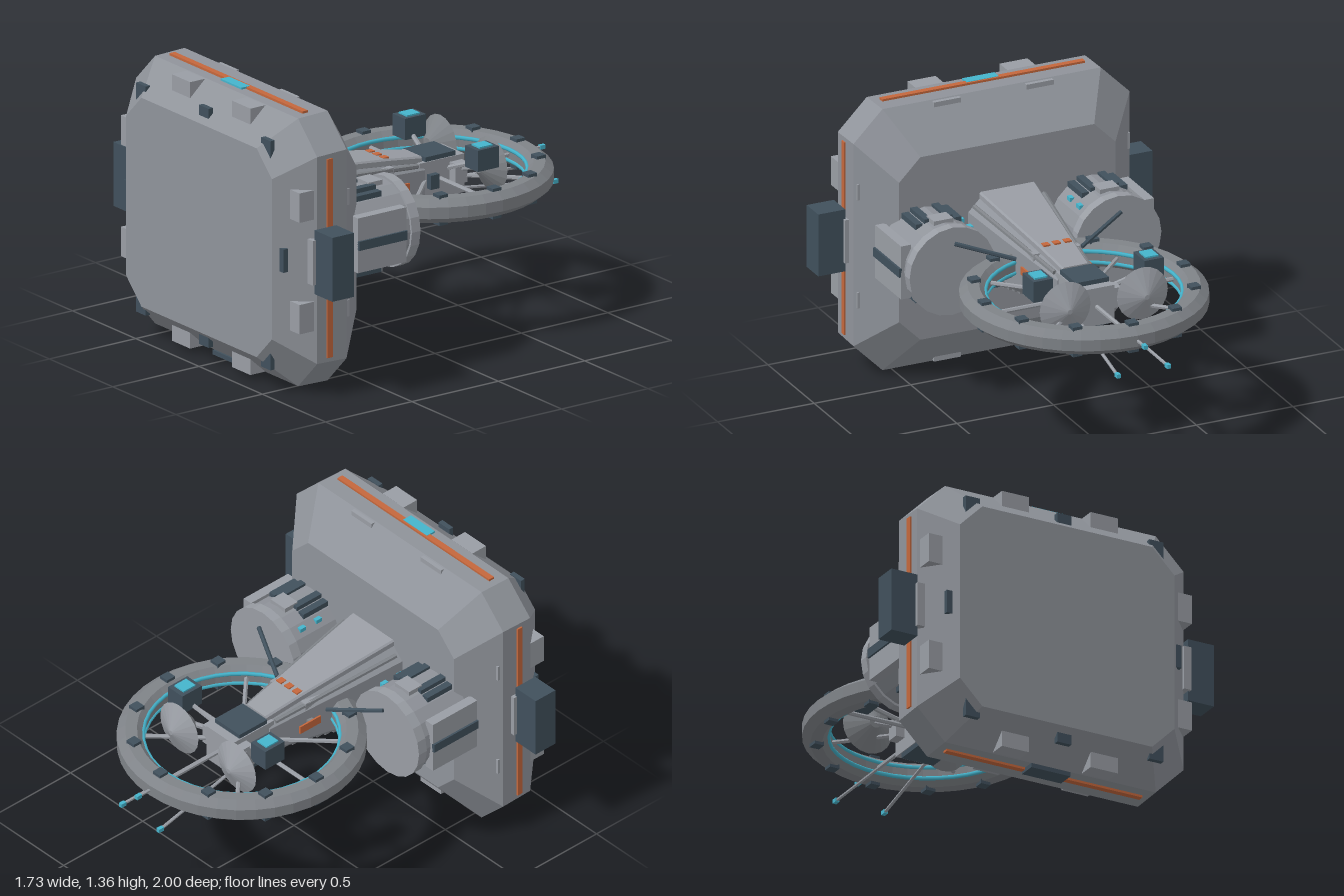
import * as THREE from 'three';

const CY = 0.69; // height of the model's long axis
const mat = (name, color) => {
  const m = new THREE.MeshStandardMaterial({ color });
  m.name = name;
  return m;
};

// Faceted normals for any geometry
function flat(g) {
  const f = g.index ? g.toNonIndexed() : g;
  f.computeVertexNormals();
  return f;
}

// Chamfered rectangle, counter-clockwise seen from the front
const section = (z, w, h, c, y = CY) => [
  [w, -h + c], [w, h - c], [w - c, h], [-w + c, h],
  [-w, h - c], [-w, -h + c], [-w + c, -h], [w - c, -h],
].map(([px, py]) => [px, py + y, z]);

// Closed solid through sections ordered front to back
function loft(sections) {
  const p = [];
  const tri = (a, b, c) => p.push(...a, ...b, ...c);
  const n = sections[0].length;
  for (let s = 0; s < sections.length - 1; s++) {
    const f = sections[s], b = sections[s + 1];
    for (let i = 0; i < n; i++) {
      const j = (i + 1) % n;
      tri(f[i], b[i], b[j]);
      tri(f[i], b[j], f[j]);
    }
  }
  const first = sections[0], last = sections[sections.length - 1];
  for (let i = 1; i < n - 1; i++) {
    tri(first[0], first[i], first[i + 1]);
    tri(last[0], last[i + 1], last[i]);
  }
  const g = new THREE.BufferGeometry();
  g.setAttribute('position', new THREE.Float32BufferAttribute(p, 3));
  g.computeVertexNormals();
  return g;
}

export function createModel() {
  const root = new THREE.Group();
  root.name = 'spaceStation';
  const hull = mat('hullGrey', 0x8f939a);
  const panel = mat('panelGrey', 0x999da4);
  const ringGrey = mat('ringGrey', 0x7f8388);
  const dark = mat('darkSlate', 0x40505c);
  const orange = mat('orange', 0xc4673c);
  const cyan = mat('cyan', 0x45b4cc);

  const add = (name, geo, m, x = 0, y = 0, z = 0) => {
    const mesh = new THREE.Mesh(geo, m);
    mesh.name = name;
    mesh.position.set(x, y, z);
    root.add(mesh);
    return mesh;
  };
  const box = (name, m, x, y, z, w, h, d) => add(name, new THREE.BoxGeometry(w, h, d), m, x, y, z);
  const rod = (name, m, a, b, r, sides = 6) => {
    const A = new THREE.Vector3(...a), B = new THREE.Vector3(...b);
    const mesh = add(name, flat(new THREE.CylinderGeometry(r, r, A.distanceTo(B), sides)), m);
    mesh.position.copy(A).add(B).multiplyScalar(0.5);
    mesh.quaternion.setFromUnitVectors(new THREE.Vector3(0, 1, 0), B.sub(A).normalize());
    return mesh;
  };
  const drum = (name, m, x, z0, z1, r, sides) =>
    add(name, flat(new THREE.CylinderGeometry(r, r, z1 - z0, sides).rotateX(Math.PI / 2)), m, x, CY, (z0 + z1) / 2);

  // Main chamfered block
  add('mainHull', loft([
    section(1.0, 0.575, 0.515, 0.12), section(0.84, 0.715, 0.66, 0.15),
    section(0.67, 0.715, 0.665, 0.15), section(0.5, 0.56, 0.465, 0.11),
  ]), hull);

  // Pads, trim and plates around the block
  for (const s of [-1, 1]) {
    for (const t of [-1, 1]) {
      box('edgePad', panel, s * 0.238, CY + t * 0.612, 0.845, 0.145, 0.09, 0.17);
      box('sidePad', panel, s * 0.663, CY + t * 0.275, 0.845, 0.085, 0.145, 0.18);
      box('rearLedge', panel, s * 0.24, CY + t * 0.645, 0.66, 0.14, 0.03, 0.03);
      box('rearSideLedge', panel, s * 0.69, CY + t * 0.275, 0.66, 0.03, 0.08, 0.03);
      // Corner clamp on the front bevel
      const sh = new THREE.Shape();
      [[0.53, 0.565], [0.455, 0.565], [0.455, 0.535], [0.505, 0.475], [0.53, 0.475]]
        .forEach(([x, y], i) => (i ? sh.lineTo(s * x, t * y) : sh.moveTo(s * x, t * y)));
      add('cornerClamp', new THREE.ExtrudeGeometry(sh, { depth: 0.025, bevelEnabled: false }), dark, 0, CY, 0.95);
    }
    box('topBottomTrim', orange, 0, CY + s * 0.667, 0.77, 1.05, 0.012, 0.03);
    box('sideTrim', orange, s * 0.716, CY, 0.77, 0.014, 0.98, 0.03);
    box('frontEdgeClamp', dark, 0, CY + s * 0.562, 0.96, 0.075, 0.055, 0.025);
    box('frontSideClamp', dark, s * 0.612, CY, 0.96, 0.035, 0.115, 0.025);
    box('podMount', panel, s * 0.715, CY, 0.8, 0.04, 0.22, 0.16);
    box('sidePod', dark, s * 0.795, CY, 0.8, 0.14, 0.315, 0.125);
  }
  box('topLight', cyan, 0, 1.36, 0.79, 0.165, 0.009, 0.05);
  box('bottomHatch', dark, 0, 0.016, 0.8, 0.21, 0.022, 0.09);

  // Pair of drum modules behind the block
  for (const s of [-1, 1]) {
    const x = s * 0.43;
    drum('drumModule', hull, x, 0.22, 0.53, 0.21, 20);
    drum('drumRim', panel, x, 0.195, 0.245, 0.222, 20);
    box('drumSideBox', panel, s * 0.63, CY, 0.42, 0.05, 0.27, 0.28);
    box('drumSideBar', dark, s * 0.658, CY, 0.42, 0.015, 0.045, 0.28);
    for (const t of [-1, 1]) {
      box('drumTopBox', panel, x, CY + t * 0.205, 0.33, 0.1, 0.04, 0.08);
      for (const dx of [-0.1, -0.055, 0.055, 0.1]) {
        const h = Math.sqrt(0.21 * 0.21 - dx * dx);
        box('drumFin', dark, x + dx, CY + t * h, 0.43, 0.036, 0.03, 0.17);
      }
      for (const z of [0.31, 0.41]) box('drumLight', cyan, s * 0.285, CY + t * 0.152, z, 0.022, 0.02, 0.035);
    }
    rod('drumAntenna', dark, [s * 0.43, 0.84, 0.17], [s * 0.17, 0.76, 0.05], 0.011);
  }

  // Tapered neck with raised spine, side rails and ribbed belly
  add('neck', loft([section(0.52, 0.205, 0.2, 0.06), section(0.2, 0.16, 0.155, 0.05),
    section(-0.24, 0.095, 0.09, 0.03)]), hull);
  add('neckSpine', loft([section(0.5, 0.145, 0.02, 0.008, 0.9), section(-0.02, 0.09, 0.02, 0.008, 0.825),
    section(-0.24, 0.07, 0.02, 0.008, 0.79)]), panel);
  for (const s of [-1, 1]) {
    rod('neckRail', ringGrey, [s * 0.18, 0.86, 0.48], [s * 0.09, 0.775, -0.2], 0.012);
    box('neckStep', panel, s * 0.1, 0.79, 0.03, 0.045, 0.04, 0.14);
    box('neckStrip', orange, s * 0.155, CY + 0.02, -0.04, 0.009, 0.04, 0.13);
    box('neckStripArm', ringGrey, s * 0.13, CY + 0.02, -0.02, 0.05, 0.02, 0.03);
  }
  for (let i = 0; i < 14; i++) {
    const k = i / 13;
    box('bellyRib', ringGrey, 0, 0.49 + 0.1 * k, 0.46 - 0.62 * k, 0.25 - 0.12 * k, 0.025, 0.025);
  }
  for (const x of [-0.055, 0, 0.055]) box('neckLight', orange, x, 0.844, -0.03, 0.034, 0.009, 0.034);

  // Hub block at the ring centre
  box('hub', panel, 0, CY, -0.34, 0.18, 0.19, 0.26);
  box('hubTopHatch', dark, 0, 0.785, -0.335, 0.17, 0.045, 0.175);
  box('hubBottomHatch', dark, 0, 0.59, -0.335, 0.17, 0.04, 0.175);
  for (const s of [-1, 1]) {
    box('hubSideBlock', panel, s * 0.11, CY + 0.02, -0.42, 0.05, 0.1, 0.07);
    box('hubSideVent', dark, s * 0.1, CY, -0.28, 0.04, 0.07, 0.05);
  }

  // Habitat ring
  const profile = [[0.46, -0.03], [0.49, -0.06], [0.545, -0.06], [0.585, -0.028], [0.585, 0.028],
    [0.545, 0.06], [0.49, 0.06], [0.46, 0.03], [0.46, -0.03]].map(([x, y]) => new THREE.Vector2(x, y));
  add('ring', flat(new THREE.LatheGeometry(profile, 40)), ringGrey, 0, CY, -0.33);
  for (const t of [-1, 1]) {
    add('ringGlow', new THREE.TorusGeometry(0.462, 0.01, 6, 40).rotateX(Math.PI / 2), cyan, 0, CY + t * 0.027, -0.33);
  }
  for (let i = 0; i < 12; i++) {
    const a = (i * Math.PI) / 6;
    for (const t of [-1, 1]) {
      box('ringNode', dark, Math.sin(a) * 0.515, CY + t * 0.06, -0.33 - Math.cos(a) * 0.515, 0.05, 0.03, 0.05);
    }
  }
  for (let i = 0; i < 8; i++) {
    const a = (i * Math.PI) / 4, x = Math.sin(a), z = Math.cos(a);
    rod('ringSpoke', panel, [x * 0.05, CY, -0.33 - z * 0.05], [x * 0.47, CY, -0.33 - z * 0.47], 0.011);
  }

  // Dish antennas and sensor boxes
  for (const s of [-1, 1]) {
    const x = s * 0.2;
    add('dishBack', flat(new THREE.CylinderGeometry(0.012, 0.132, 0.055, 20).rotateX(-Math.PI / 2)), panel, x, 0.75, -0.57);
    add('dishFront', flat(new THREE.CylinderGeometry(0.132, 0.03, 0.075, 20).rotateX(-Math.PI / 2)), ringGrey, x, 0.75, -0.505);
    rod('dishArm', panel, [s * 0.08, 0.72, -0.4], [x, 0.75, -0.48], 0.014);
    box('sensorBox', dark, s * 0.287, 0.833, -0.428, 0.1, 0.105, 0.122);
    box('sensorLight', cyan, s * 0.287, 0.889, -0.428, 0.065, 0.009, 0.075);
    rod('sensorArm', panel, [s * 0.08, 0.73, -0.38], [s * 0.26, 0.8, -0.42], 0.012);
  }

  // Rear masts with lit tips
  for (const [x0, y0, x1, y1, z1] of [[0, CY, 0, CY, -0.98], [-0.075, 0.62, -0.13, 0.56, -0.96], [0.075, 0.62, 0.13, 0.56, -0.96]]) {
    rod('mast', panel, [x0, y0, -0.42], [x1, y1, z1], 0.008);
    box('mastTip', cyan, x1, y1, z1 - 0.005, 0.02, 0.02, 0.03);
  }
  return root;
}
